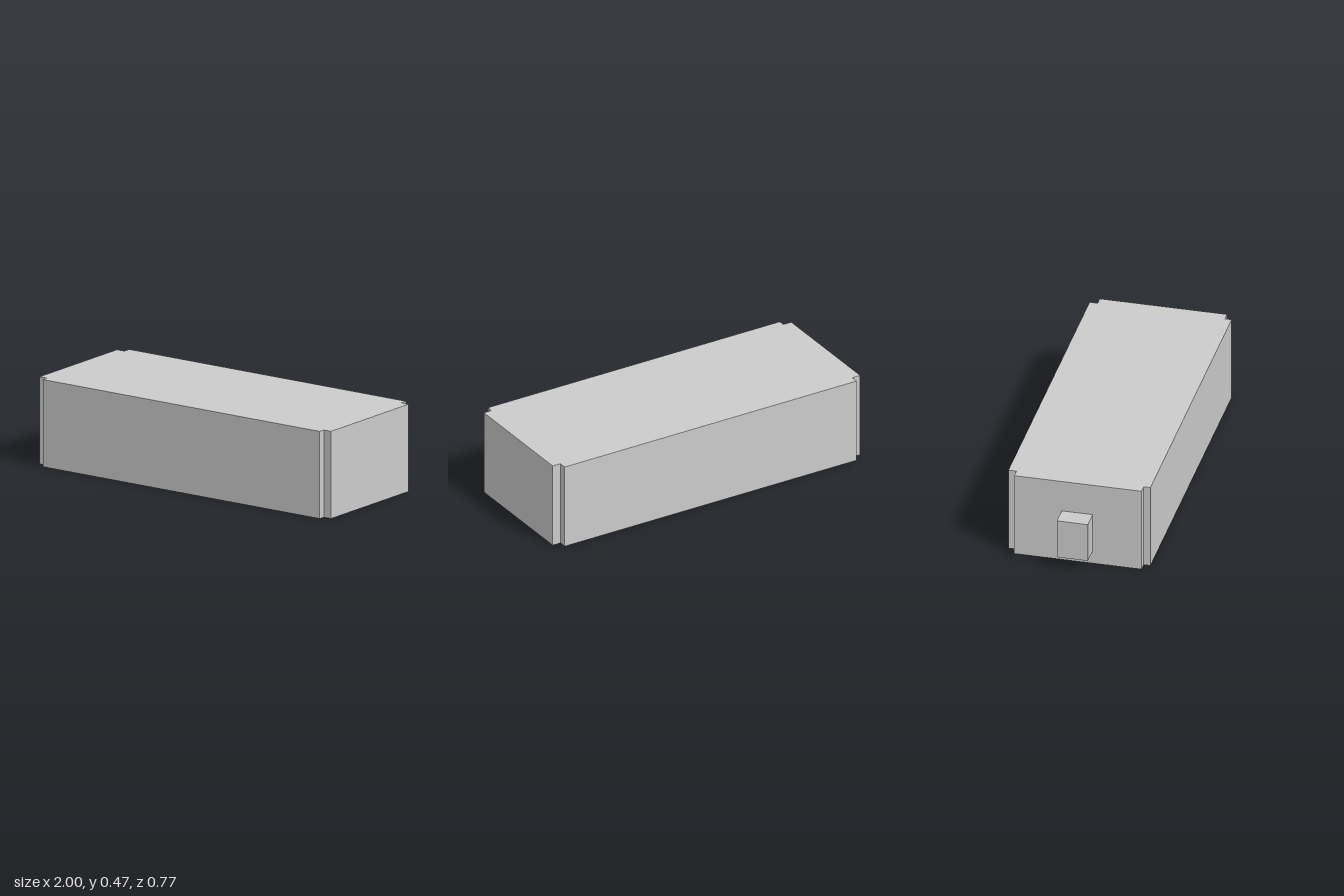
import * as THREE from 'three';

export function createModel() {
  const group = new THREE.Group();
  const material = new THREE.MeshStandardMaterial({ color: 0xcccccc, flatShading: true });

  // Extents of the body, and of the faces left between its notched corners
  const height = 0.473;
  const left = 1, right = -0.893, front = 0.383, back = -0.383;
  const inLeft = 0.953, inRight = -0.845, inFront = 0.347, inBack = -0.34;

  // Plan of the body as (x, -z), with a small square notch at each corner
  const plan = new THREE.Shape([
    [inRight, front], [inLeft, front], [inLeft, inFront], [left, inFront],
    [left, inBack], [inLeft, inBack], [inLeft, back], [inRight, back],
    [inRight, inBack], [right, inBack], [right, inFront], [inRight, inFront],
  ].map(([x, z]) => new THREE.Vector2(x, -z)));

  const bodyGeometry = new THREE.ExtrudeGeometry(plan, { depth: height, bevelEnabled: false });
  bodyGeometry.rotateX(-Math.PI / 2);
  const body = new THREE.Mesh(bodyGeometry, material);
  body.name = 'body';
  group.add(body);

  // Small block projecting from the right end
  const endBlock = new THREE.Mesh(new THREE.BoxGeometry(0.107, 0.22, 0.167), material);
  endBlock.name = 'endBlock';
  endBlock.position.set(-0.9465, 0.185, 0);
  group.add(endBlock);

  return group;
}
